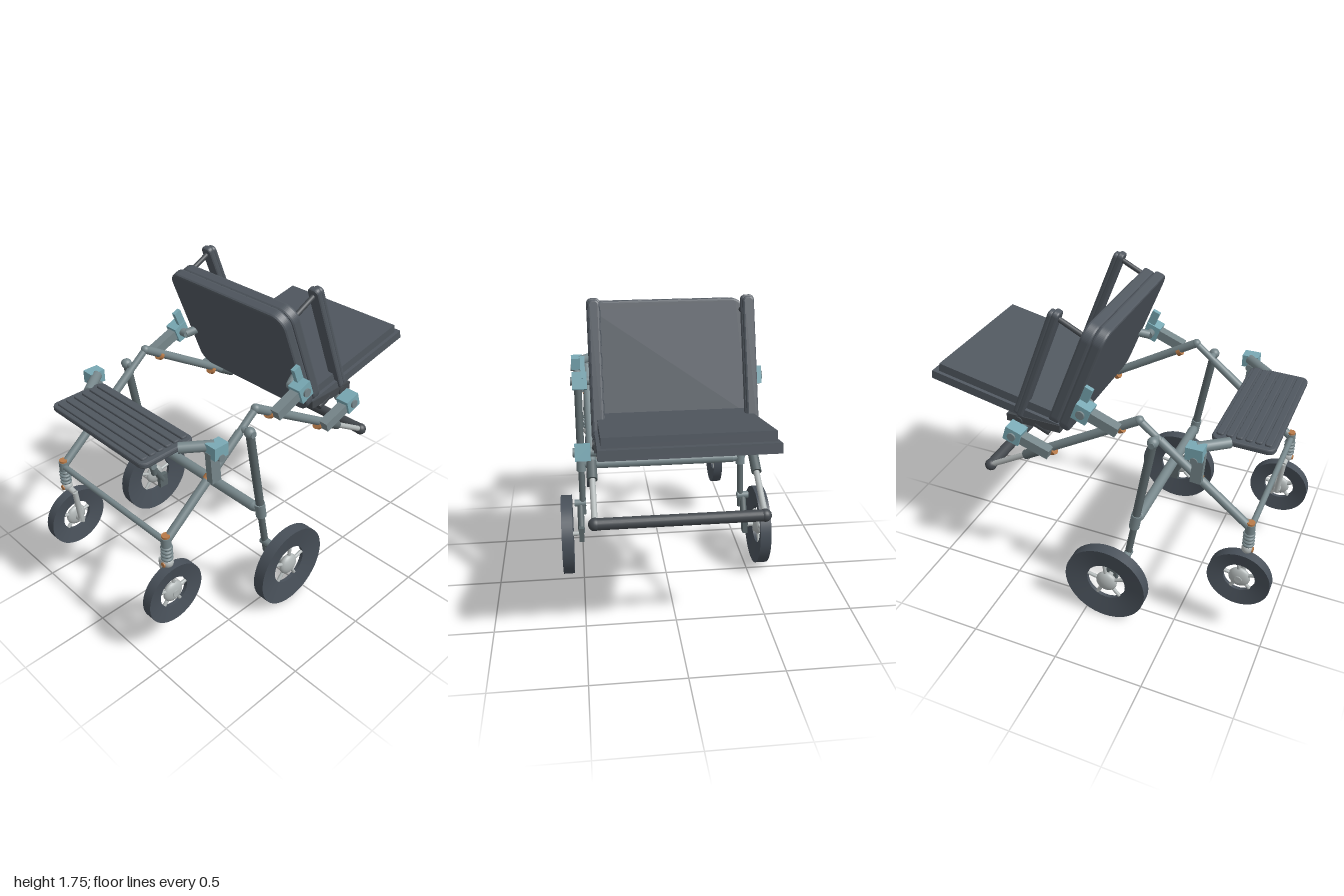
import * as THREE from 'three';

const mat = (name, color, side = THREE.FrontSide) => {
  const m = new THREE.MeshStandardMaterial({ color, side });
  m.name = name;
  return m;
};

export function createModel() {
  const root = new THREE.Group();
  root.name = 'wheeledChair';
  const pad = mat('slate padding', 0x50575f);
  const rubber = mat('dark rubber', 0x485059);
  const frame = mat('grey green frame', 0x76868a);
  const legPaint = mat('dark frame', 0x5b676a);
  const teal = mat('teal clamp', 0x79a9b4);
  const silver = mat('silver', 0xb2b8b8);
  const orange = mat('orange bushing', 0xb87a48);
  const dark = mat('dark grip', 0x43484d);

  const add = (parent, name, geo, m) => {
    const mesh = new THREE.Mesh(geo, m);
    mesh.name = name;
    parent.add(mesh);
    return mesh;
  };
  // Round bar between two points
  const bar = (parent, name, a, b, r, m, r2 = r) => {
    const A = new THREE.Vector3(...a), B = new THREE.Vector3(...b);
    const d = B.clone().sub(A);
    const mesh = add(parent, name, new THREE.CylinderGeometry(r2, r, d.length(), 20), m);
    mesh.position.copy(A).add(B).multiplyScalar(0.5);
    mesh.quaternion.setFromUnitVectors(new THREE.Vector3(0, 1, 0), d.normalize());
    return mesh;
  };
  const ball = (parent, name, p, r, m) => {
    const mesh = add(parent, name, new THREE.SphereGeometry(r, 20, 14), m);
    mesh.position.set(...p);
    return mesh;
  };
  // Box turned about z
  const block = (parent, name, p, size, m, deg = 0) => {
    const mesh = add(parent, name, new THREE.BoxGeometry(...size), m);
    mesh.position.set(...p);
    mesh.rotation.z = THREE.MathUtils.degToRad(deg);
    return mesh;
  };
  // Cushion with rounded outline: length along x, thickness along y, width along z
  const cushion = (parent, name, p, [len, thick, width], r, m, deg = 0, bevel = 0.012) => {
    const x = len / 2 - bevel, y = width / 2 - bevel, q = Math.max(r - bevel, 0.004);
    const s = new THREE.Shape();
    s.moveTo(-x + q, -y);
    s.lineTo(x - q, -y).absarc(x - q, -y + q, q, -Math.PI / 2, 0);
    s.lineTo(x, y - q).absarc(x - q, y - q, q, 0, Math.PI / 2);
    s.lineTo(-x + q, y).absarc(-x + q, y - q, q, Math.PI / 2, Math.PI);
    s.lineTo(-x, -y + q).absarc(-x + q, -y + q, q, Math.PI, Math.PI * 1.5);
    const geo = new THREE.ExtrudeGeometry(s, {
      depth: thick - 2 * bevel, bevelThickness: bevel, bevelSize: bevel, bevelSegments: 2, curveSegments: 8,
    });
    geo.translate(0, 0, -thick / 2 + bevel).rotateX(-Math.PI / 2);
    const mesh = add(parent, name, geo, m);
    mesh.position.set(...p);
    mesh.rotation.z = THREE.MathUtils.degToRad(deg);
    return mesh;
  };

  // Dished tyre, domed hub and spokes, axle along z
  const wheel = (parent, name, p, R, inner, half, hubR) => {
    const g = new THREE.Group();
    g.name = name;
    g.position.set(...p);
    parent.add(g);
    const strips = [
      [[inner, -0.01], [R, -half]], [[R, -half], [R, half]],
      [[R, half], [inner, 0.01]], [[inner, 0.01], [inner, -0.01]],
    ];
    for (const s of strips) {
      const geo = new THREE.LatheGeometry(s.map(([a, b]) => new THREE.Vector2(a, b)), 48);
      add(g, 'tyre', geo.rotateX(Math.PI / 2), rubber);
    }
    ball(g, 'hub', [0, 0, 0], hubR, silver).scale.z = half * 0.95 / hubR;
    for (let i = 0; i < 5; i++) {
      const a = 0.2 + i * Math.PI * 0.4, c = Math.cos(a), s = Math.sin(a);
      bar(g, 'spoke', [c * hubR * 0.7, s * hubR * 0.7, 0], [c * (inner + 0.01), s * (inner + 0.01), 0], 0.01, silver);
    }
    return g;
  };

  // Seat in two layers
  block(root, 'seatBase', [0.602, 1.148, 0], [0.79, 0.049, 0.835], pad, 11.5);
  block(root, 'seatCushion', [0.575, 1.195, 0], [0.76, 0.049, 0.8], pad, 11.5);

  // Backrest in two layers, leaning back
  cushion(root, 'backrestShell', [0.083, 1.363, 0], [0.69, 0.06, 0.85], 0.08, pad, 111.5);
  cushion(root, 'backrestCushion', [0.145, 1.378, 0], [0.68, 0.06, 0.84], 0.08, pad, 111.5);

  // Rear tray with raised slats
  cushion(root, 'tray', [-0.763, 1.197, 0], [0.325, 0.03, 0.75], 0.04, pad, 1, 0.008);
  for (let i = 0; i < 6; i++)
    cushion(root, 'traySlat', [-0.885 + i * 0.049, 1.212 + i * 0.001, 0], [0.037, 0.018, 0.69], 0.012, pad, 1, 0.005);

  // Cross members
  bar(root, 'axleCrossTube', [-0.255, 0.64, -0.44], [-0.255, 0.64, 0.44], 0.029, frame);
  for (const s of [-1, 1])
    bar(root, 'crossTubeEnd', [-0.255, 0.64, s * 0.44], [-0.255, 0.64, s * 0.48], 0.029, frame, 0.018);
  bar(root, 'rearCrossTube', [-0.865, 0.757, -0.43], [-0.865, 0.757, 0.43], 0.016, frame);
  bar(root, 'footBar', [0.66, 0.715, -0.43], [0.66, 0.715, 0.43], 0.031, dark);

  // Everything that repeats on both sides
  for (const s of [-1, 1]) {
    const g = new THREE.Group();
    g.name = s > 0 ? 'nearSide' : 'farSide';
    root.add(g);
    const z = s * 0.435, zl = s * 0.49, zb = s * 0.48;

    // Main frame rails
    bar(g, 'rearRail', [-0.865, 0.757, z], [-0.36, 1.165, z], 0.023, frame);
    bar(g, 'upperRearRail', [-0.36, 1.165, z], [-0.25, 1.255, z], 0.019, frame);
    ball(g, 'apexJoint', [-0.25, 1.255, z], 0.025, frame);
    bar(g, 'frontRail', [-0.25, 1.255, z], [0.42, 0.855, z], 0.024, frame);
    bar(g, 'railSleeve', [0.33, 0.909, z], [0.425, 0.852, z], 0.027, legPaint);
    bar(g, 'footRail', [0.42, 0.855, z], [0.66, 0.715, z], 0.016, silver);
    ball(g, 'footBarEnd', [0.66, 0.715, z], 0.034, dark);

    // Leg down to the large wheel
    ball(g, 'legPivot', [-0.345, 1.18, zl], 0.03, frame);
    bar(g, 'legPivotPin', [-0.345, 1.178, z], [-0.345, 1.178, s * 0.52], 0.018, frame);
    bar(g, 'leg', [-0.345, 1.18, zl], [-0.255, 0.66, zl], 0.023, legPaint);
    bar(g, 'legCollar', [-0.262, 0.69, zl], [-0.247, 0.6, zl], 0.029, frame);
    bar(g, 'lowerLeg', [-0.255, 0.64, zl], [-0.2, 0.33, zl], 0.019, legPaint);
    bar(g, 'legClamp', [-0.213, 0.4, s * 0.47], [-0.213, 0.4, s * 0.54], 0.022, frame);
    bar(g, 'axleArm', [-0.21, 0.39, s * 0.505], [-0.123, 0.238, s * 0.505], 0.02, legPaint);
    block(g, 'axleMount', [-0.123, 0.238, s * 0.505], [0.06, 0.09, 0.03], legPaint);
    bar(g, 'axle', [-0.123, 0.238, s * 0.5], [-0.123, 0.238, s * 0.59], 0.014, silver);
    wheel(g, 'largeWheel', [-0.123, 0.238, s * 0.588], 0.238, 0.115, 0.033, 0.062);

    // Caster with sprung stem and one-sided fork
    bar(g, 'casterHead', [-0.862, 0.73, z], [-0.862, 0.785, z], 0.026, frame);
    bar(g, 'casterBushing', [-0.862, 0.782, z], [-0.862, 0.797, z], 0.022, orange);
    bar(g, 'casterStem', [-0.855, 0.6, z], [-0.86, 0.74, z], 0.015, silver);
    for (let i = 0; i < 4; i++) {
      const ring = add(g, 'springCoil', new THREE.TorusGeometry(0.023, 0.009, 8, 20), frame);
      ring.position.set(-0.86, 0.652 + i * 0.023, z);
      ring.rotation.x = Math.PI / 2;
    }
    ball(g, 'casterSwivel', [-0.857, 0.62, z], 0.03, silver);
    bar(g, 'swivelBushing', [-0.89, 0.618, z], [-0.865, 0.618, z], 0.014, orange);
    bar(g, 'forkShoulder', [-0.855, 0.61, z], [-0.85, 0.595, s * 0.375], 0.016, silver);
    bar(g, 'forkBlade', [-0.85, 0.6, s * 0.375], [-0.83, 0.39, s * 0.375], 0.016, silver);
    bar(g, 'casterAxle', [-0.83, 0.4, s * 0.365], [-0.83, 0.4, s * 0.458], 0.02, silver);
    wheel(g, 'casterWheel', [-0.83, 0.4, s * 0.428], 0.173, 0.088, 0.028, 0.06);

    // Tray post, clamp and diagonal arm
    block(g, 'trayPost', [-0.58, 1.09, s * 0.475], [0.058, 0.18, 0.04], frame, 4);
    block(g, 'trayClamp', [-0.568, 1.19, s * 0.49], [0.09, 0.07, 0.07], teal);
    bar(g, 'trayClampPin', [-0.57, 1.155, s * 0.44], [-0.57, 1.155, s * 0.53], 0.02, frame);
    bar(g, 'trayArm', [-0.7, 1.195, s * 0.36], [-0.565, 1.2, s * 0.47], 0.028, frame);
    bar(g, 'trayBushing', [-0.585, 0.985, z], [-0.565, 1.001, z], 0.026, orange);

    // Brackets carrying the backrest and the seat
    const brackets = [
      ['backrest', [-0.15, 1.195], [0.03, 1.265], [0.035, 1.265], [0.085, 0.095], [0.11, 1.285]],
      ['seat', [0.25, 0.945], [0.43, 1.005], [0.45, 1.02], [0.095, 0.085], [0.44, 1.07]],
    ];
    for (const [n, a, b, c, size, e] of brackets) {
      const deg = THREE.MathUtils.radToDeg(Math.atan2(b[1] - a[1], b[0] - a[0]));
      block(g, n + 'BracketArm', [(a[0] + b[0]) / 2, (a[1] + b[1]) / 2, zb], [0.2, 0.055, 0.055], frame, deg);
      block(g, n + 'Clamp', [...c, zb], [...size, 0.08], teal, deg);
      bar(g, n + 'ClampPin', [...c, s * 0.4], [...c, s * 0.53], 0.024, frame);
      bar(g, n + 'Support', [...c, s * 0.41], [...e, s * 0.38], 0.025, frame);
      bar(g, n + 'Bushing', [a[0] - 0.01, a[1] - 0.005, z], [a[0] + 0.012, a[1] - 0.018, z], 0.028, orange);
    }
    block(g, 'backrestClampPlate', [0.03, 1.34, s * 0.46], [0.045, 0.12, 0.025], teal, 22);
    bar(g, 'seatLockLever', [0.28, 1.025, s * 0.4], [0.36, 1.06, s * 0.4], 0.025, dark);

    // Armrest folded up beside the backrest, with link and base
    cushion(g, 'armrest', [0.325, 1.417, s * 0.395], [0.72, 0.036, 0.07], 0.025, pad, 111.5, 0.01);
    cushion(g, 'armrestPad', [0.351, 1.424, s * 0.395], [0.7, 0.03, 0.06], 0.025, pad, 111.5, 0.01);
    bar(g, 'armrestLink', [0.05, 1.635, s * 0.395], [0.21, 1.715, s * 0.395], 0.014, dark);
    block(g, 'armrestBase', [0.37, 1.068, s * 0.395], [0.32, 0.045, 0.055], dark);
    bar(g, 'armrestPivot', [0.46, 1.06, s * 0.36], [0.46, 1.06, s * 0.43], 0.026, dark);
  }
  return root;
}
